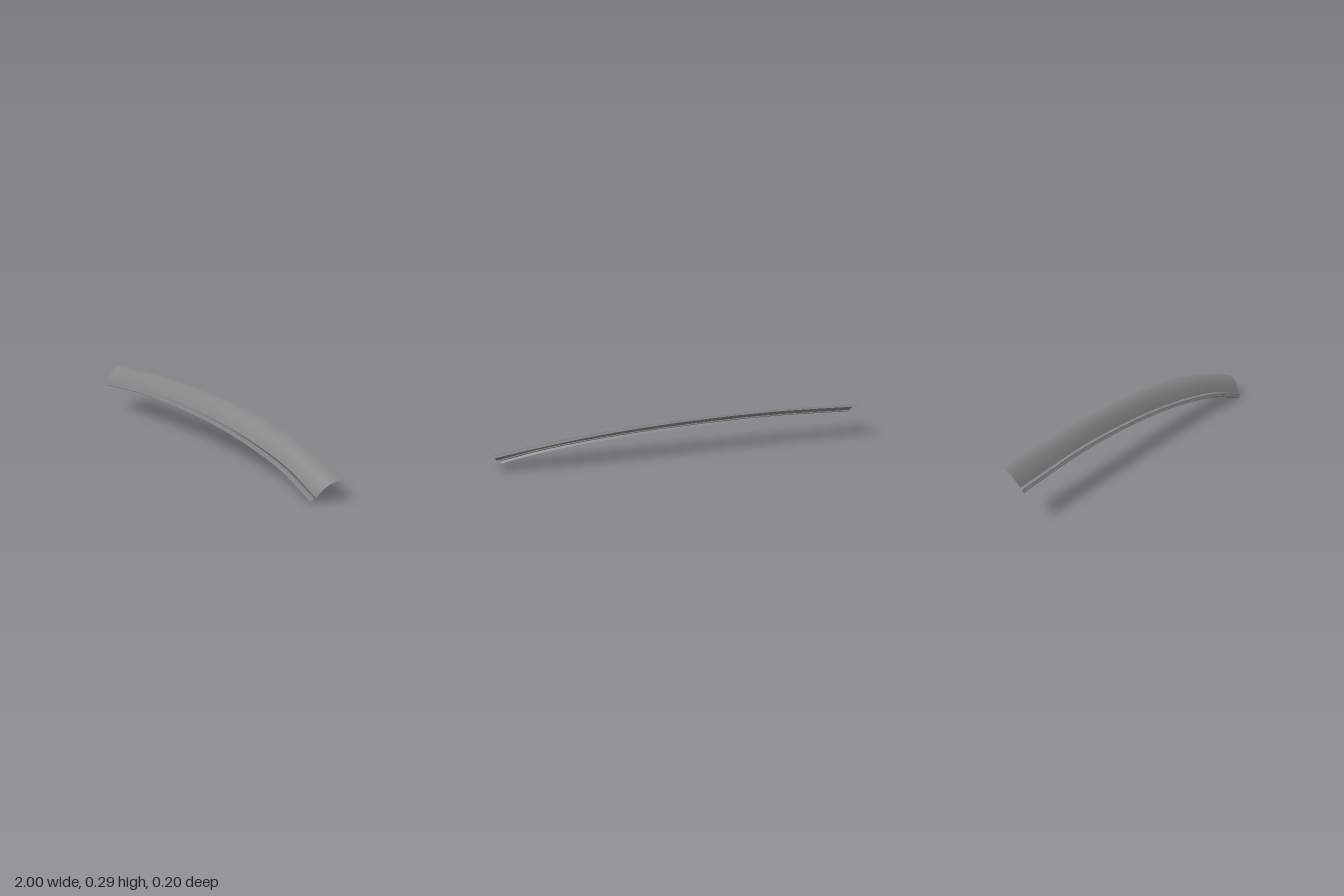
import * as THREE from 'three';
import { toCreasedNormals } from 'three/addons/utils/BufferGeometryUtils.js';

const SEGMENTS = 64;
const material = new THREE.MeshStandardMaterial({ color: 0x848484, side: THREE.DoubleSide });

const rail = (points) =>
  new THREE.CatmullRomCurve3(points.map((p) => new THREE.Vector3(...p)));

// Skin a surface through cross-sections; section(t) lists points from top to bottom
function loft(name, section) {
  const positions = [], index = [];
  let n = 0;
  for (let i = 0; i <= SEGMENTS; i++) {
    const row = section(i / SEGMENTS);
    n = row.length;
    row.forEach((p) => positions.push(p.x, p.y, p.z));
  }
  for (let i = 0; i < SEGMENTS; i++) {
    for (let j = 0; j < n - 1; j++) {
      const a = i * n + j, b = a + n;
      index.push(a, a + 1, b, a + 1, b + 1, b);
    }
  }
  const geometry = new THREE.BufferGeometry();
  geometry.setAttribute('position', new THREE.Float32BufferAttribute(positions, 3));
  geometry.setIndex(index);
  const mesh = new THREE.Mesh(toCreasedNormals(geometry, 0.6), material);
  mesh.name = name;
  return mesh;
}

export function createModel() {
  const group = new THREE.Group();
  group.name = 'curvedTrim';

  // Long guide curves: panel top edge, crown control and lower edge
  const top = rail([[-1, 0.274, -0.1], [-0.5, 0.293, -0.1], [0, 0.283, -0.1],
    [0.4, 0.247, -0.091], [0.75, 0.181, -0.063], [0.997, 0.111, -0.022]]);
  const crown = rail([[-0.998, 0.274, -0.052], [-0.5, 0.294, -0.054], [0, 0.284, -0.048],
    [0.4, 0.247, -0.033], [0.74, 0.183, 0.003], [0.982, 0.114, 0.045]]);
  const lower = rail([[-0.985, 0.192, -0.006], [-0.5, 0.215, -0.012], [0, 0.199, -0.004],
    [0.4, 0.158, 0.017], [0.7, 0.104, 0.043], [0.94, 0.032, 0.08]]);

  // Arched main panel
  group.add(loft('mainPanel', (t) => new THREE.QuadraticBezierCurve3(
    top.getPoint(t), crown.getPoint(t), lower.getPoint(t)).getPoints(14)));

  // Lower strip: grooved channel section following the panel's lower edge, as [z, y] offsets
  const profile = [[0.0025, -0.0065], [0.0115, -0.006], [0.013, -0.01], [0.0105, -0.011],
    [0.0125, -0.015], [0.0155, -0.015], [0.0185, -0.021], [0.0065, -0.027]];
  group.add(loft('lowerStrip', (t) => {
    const p = lower.getPoint(t);
    return profile.map(([z, y]) => new THREE.Vector3(p.x + y * 0.7 * t, p.y + y, p.z + z));
  }));

  return group;
}
